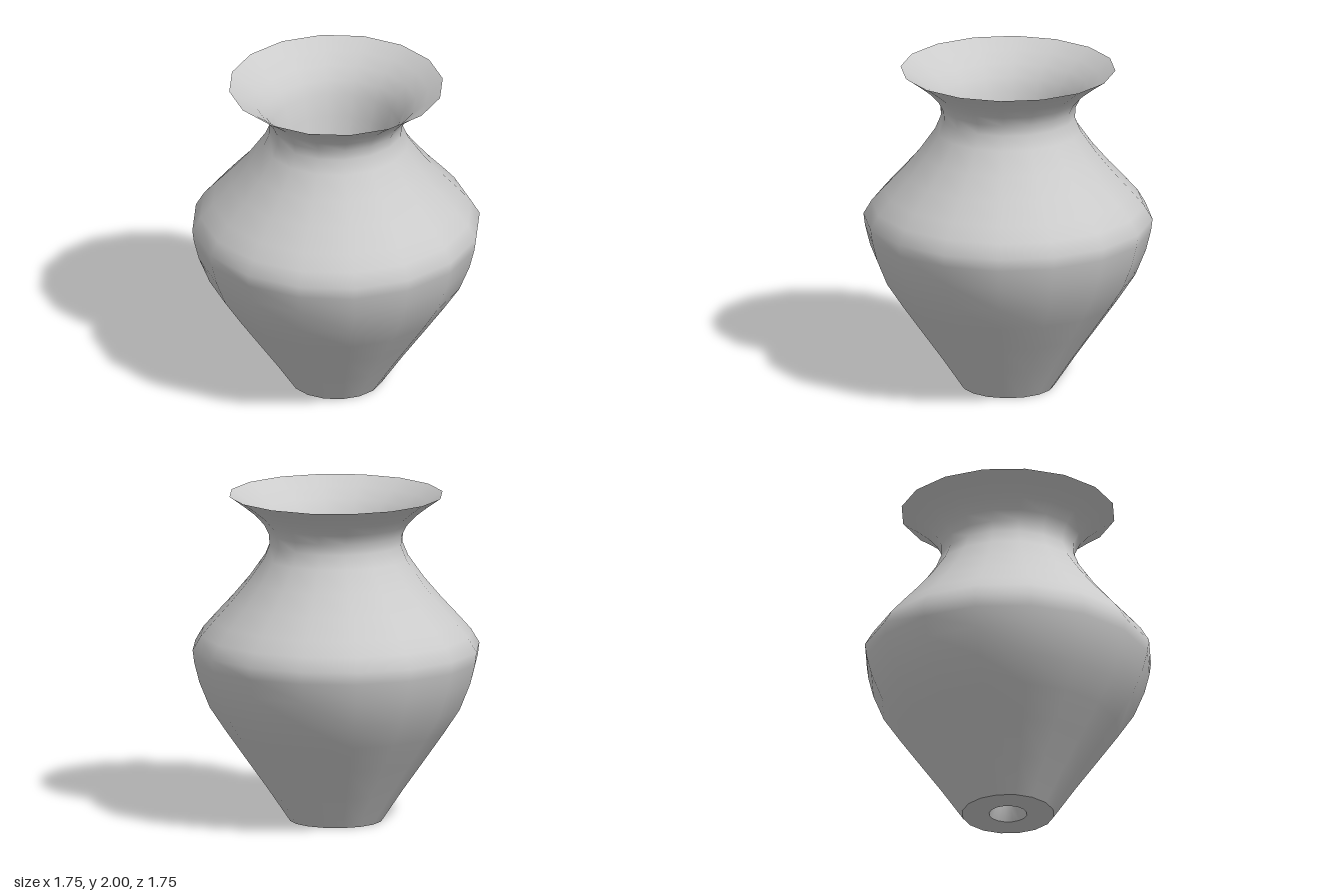
import * as THREE from 'three';

const SIDES = 16;

export function createModel() {
  const group = new THREE.Group();
  group.name = 'vase';
  const material = new THREE.MeshStandardMaterial({ color: 0xcccccc, side: THREE.DoubleSide });

  // Revolves a profile of [radius, height] pairs
  const turn = (name, profile) => {
    const points = profile.map(([r, y]) => new THREE.Vector2(r, y));
    const mesh = new THREE.Mesh(new THREE.LatheGeometry(points, SIDES), material);
    mesh.name = name;
    group.add(mesh);
  };

  // Outer wall, from foot over the shoulder and neck to the flared rim
  turn('outerWall', [
    [0.28, 0], [0.415, 0.2], [0.55, 0.39], [0.67, 0.56], [0.77, 0.71], [0.835, 0.87],
    [0.865, 0.99], [0.875, 1.065], [0.825, 1.15], [0.75, 1.235], [0.64, 1.355],
    [0.535, 1.48], [0.44, 1.615], [0.405, 1.7], [0.41, 1.765], [0.44, 1.825],
    [0.495, 1.885], [0.565, 1.94], [0.65, 2],
  ]);

  // Funnel inside, from the rim down to a narrow throat and the drain hole
  turn('innerFunnel', [
    [0.65, 2], [0.56, 1.94], [0.485, 1.88], [0.425, 1.81], [0.385, 1.73], [0.35, 1.6],
    [0.28, 1.25], [0.2, 0.85], [0.125, 0.5], [0.08, 0.28], [0.065, 0.17], [0.085, 0.07], [0.115, 0],
  ]);

  // Flat foot ring around the drain hole
  turn('footRing', [[0.115, 0], [0.28, 0]]);

  return group;
}
